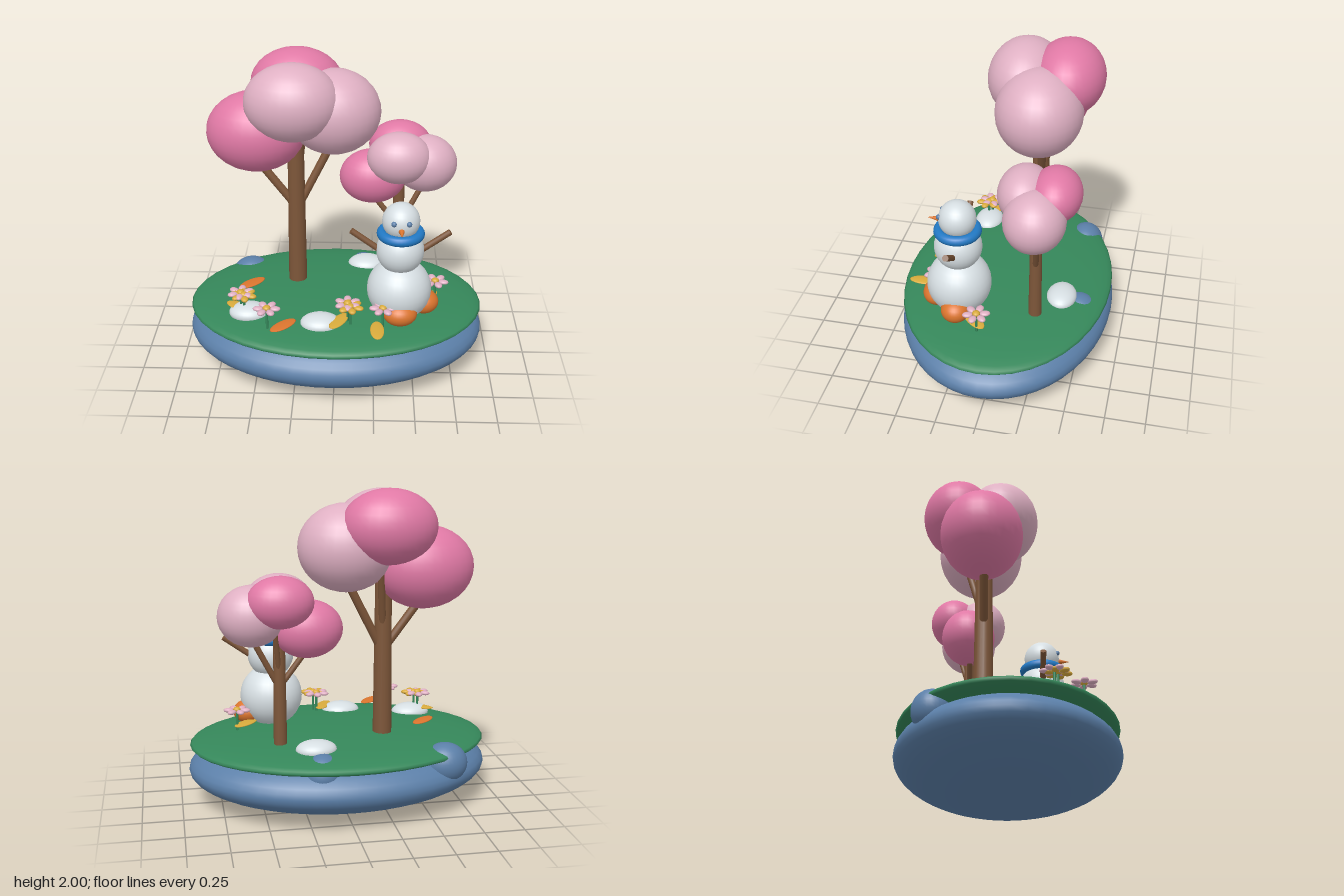
import * as THREE from 'three';

const COLORS = {
  stoneBlue: 0x5b7fa8, grassGreen: 0x35875a, barkBrown: 0x7d5639, blossomPale: 0xdfb0c3,
  blossomPink: 0xe079a5, snowWhite: 0xd6dee2, scarfBlue: 0x2279c4, orange: 0xdb752e, yellow: 0xd9ab3c,
};
const mats = {};

function add(parent, name, geo, color, [x, y, z]) {
  const m = new THREE.Mesh(geo, mats[color]);
  m.name = name;
  m.position.set(x, y, z);
  parent.add(m);
  return m;
}

// ellipsoid with its own radii
function blob(parent, name, color, pos, [rx, ry, rz], seg = 32) {
  return add(parent, name, new THREE.SphereGeometry(1, seg, seg / 2).scale(rx, ry, rz), color, pos);
}

// tapered round stick between two points
function stick(parent, name, color, from, to, r0, r1 = r0) {
  const a = new THREE.Vector3(...from), b = new THREE.Vector3(...to);
  const d = b.clone().sub(a);
  const m = add(parent, name, new THREE.CylinderGeometry(r1, r0, d.length(), 16), color,
    a.add(b).multiplyScalar(0.5).toArray());
  m.quaternion.setFromUnitVectors(new THREE.Vector3(0, 1, 0), d.normalize());
  return m;
}

function makeTree(name, pos, scale) {
  const tree = new THREE.Group();
  tree.name = name;
  stick(tree, 'trunk', 'barkBrown', [0, -0.03, 0], [0, 1.1, 0], 0.06, 0.05);
  stick(tree, 'leftBranch', 'barkBrown', [0.01, 0.53, 0], [0.24, 0.98, -0.05], 0.026);
  stick(tree, 'rightBranch', 'barkBrown', [-0.01, 0.54, 0], [-0.25, 0.86, 0], 0.026);
  stick(tree, 'backBranch', 'barkBrown', [0, 0.6, 0], [0.05, 1.1, -0.14], 0.022);
  blob(tree, 'rightBlossom', 'blossomPink', [-0.245, 1.04, -0.015], [0.31, 0.255, 0.25]);
  blob(tree, 'leftBlossom', 'blossomPale', [0.235, 1.17, -0.025], [0.295, 0.267, 0.265]);
  blob(tree, 'frontBlossom', 'blossomPale', [-0.01, 1.27, 0.1], [0.295, 0.24, 0.235]);
  blob(tree, 'backBlossom', 'blossomPink', [0.005, 1.305, -0.16], [0.29, 0.225, 0.225]);
  tree.position.set(...pos);
  tree.scale.setScalar(scale);
  return tree;
}

function makeFlower(petal, centre, x, z, y, turn = 0) {
  const flower = new THREE.Group();
  flower.name = 'flower';
  stick(flower, 'stem', 'grassGreen', [0, 0.44, 0], [0, y, 0], 0.008);
  for (let i = 0; i < 6; i++) {
    const a = turn + i * Math.PI / 3;
    const p = blob(flower, 'petal', petal, [Math.cos(a) * 0.053, y, Math.sin(a) * 0.053], [0.033, 0.014, 0.024], 12);
    p.rotation.y = -a;
  }
  blob(flower, 'flowerCentre', centre, [0, y + 0.005, 0], [0.025, 0.017, 0.025], 12);
  flower.position.set(x, 0, z);
  return flower;
}

function makeSnowman() {
  const man = new THREE.Group();
  man.name = 'snowman';
  blob(man, 'lowerBody', 'snowWhite', [0, 0.63, 0], [0.2, 0.2, 0.2]);
  blob(man, 'upperBody', 'snowWhite', [0, 0.9, 0], [0.147, 0.147, 0.147]);
  blob(man, 'head', 'snowWhite', [0, 1.1, 0], [0.115, 0.115, 0.115]);
  add(man, 'scarf', new THREE.TorusGeometry(0.115, 0.031, 16, 40).rotateX(Math.PI / 2), 'scarfBlue', [0, 1.015, 0]);
  add(man, 'nose', new THREE.ConeGeometry(0.022, 0.09, 16).rotateX(Math.PI / 2), 'orange', [0, 1.083, 0.14]);
  for (const s of [-1, 1]) {
    blob(man, 'eye', 'stoneBlue', [s * 0.045, 1.125, 0.1], [0.017, 0.017, 0.017], 16);
    stick(man, 'arm', 'barkBrown', [s * 0.12, 0.895, 0], [s * 0.3, 1.025, -0.005], 0.019);
  }
  blob(man, 'frontFoot', 'orange', [0.005, 0.53, 0.14], [0.105, 0.075, 0.09]);
  blob(man, 'sideFoot', 'orange', [0.155, 0.53, -0.012], [0.095, 0.075, 0.09]);
  man.position.set(0.4, 0, 0.233);
  return man;
}

export function createModel() {
  for (const [name, color] of Object.entries(COLORS)) {
    mats[name] = new THREE.MeshStandardMaterial({ color });
    mats[name].name = name;
  }
  const model = new THREE.Group();
  model.name = 'gardenIsland';

  // island
  blob(model, 'islandBase', 'stoneBlue', [0, 0.237, 0], [0.95, 0.235, 0.68], 48);
  blob(model, 'grass', 'grassGreen', [0, 0.395, 0], [0.94, 0.08, 0.67], 40);
  blob(model, 'edgeRock', 'stoneBlue', [-0.59, 0.335, -0.42], [0.14, 0.125, 0.12]);
  blob(model, 'edgeRock', 'stoneBlue', [0.18, 0.34, -0.49], [0.12, 0.12, 0.125]);

  // pale stones
  for (const [x, z] of [[-0.54, 0.26], [-0.085, 0.375], [0.2, -0.38]])
    blob(model, 'stone', 'snowWhite', [x, 0.455, z], [0.125, 0.058, 0.095]);

  model.add(makeTree('bigTree', [-0.255, 0.47, -0.15], 1));
  model.add(makeTree('smallTree', [0.4, 0.455, -0.245], 0.69));
  model.add(makeSnowman());

  // fallen leaves: colour, x, z, turn about y
  for (const [color, x, z, turn] of [
    ['orange', -0.31, 0.46, 0.8], ['orange', -0.55, -0.04, 0.75], ['yellow', 0.265, 0.5, 1.6],
    ['yellow', 0.03, 0.4, 1.1], ['yellow', 0.58, 0.1, 0.8], ['yellow', -0.6, 0.25, -0.6],
  ]) {
    const leaf = blob(model, 'fallenLeaf', color, [x, 0.487, z], [0.1, 0.009, 0.043], 20);
    leaf.rotation.y = turn;
  }

  // flowers
  for (const f of [
    ['yellow', 'yellow', -0.568, 0.27, 0.583, 0.3], ['blossomPale', 'yellow', -0.588, 0.25, 0.587, 0.6],
    ['blossomPale', 'yellow', -0.41, 0.43, 0.585], ['yellow', 'yellow', 0.1, 0.39, 0.583, 0.3],
    ['blossomPale', 'yellow', 0.083, 0.357, 0.587, 0.5], ['blossomPale', 'yellow', 0.3, 0.405, 0.585],
    ['blossomPale', 'yellow', 0.637, 0.07, 0.585, 0.2],
  ]) model.add(makeFlower(...f));

  return model;
}
